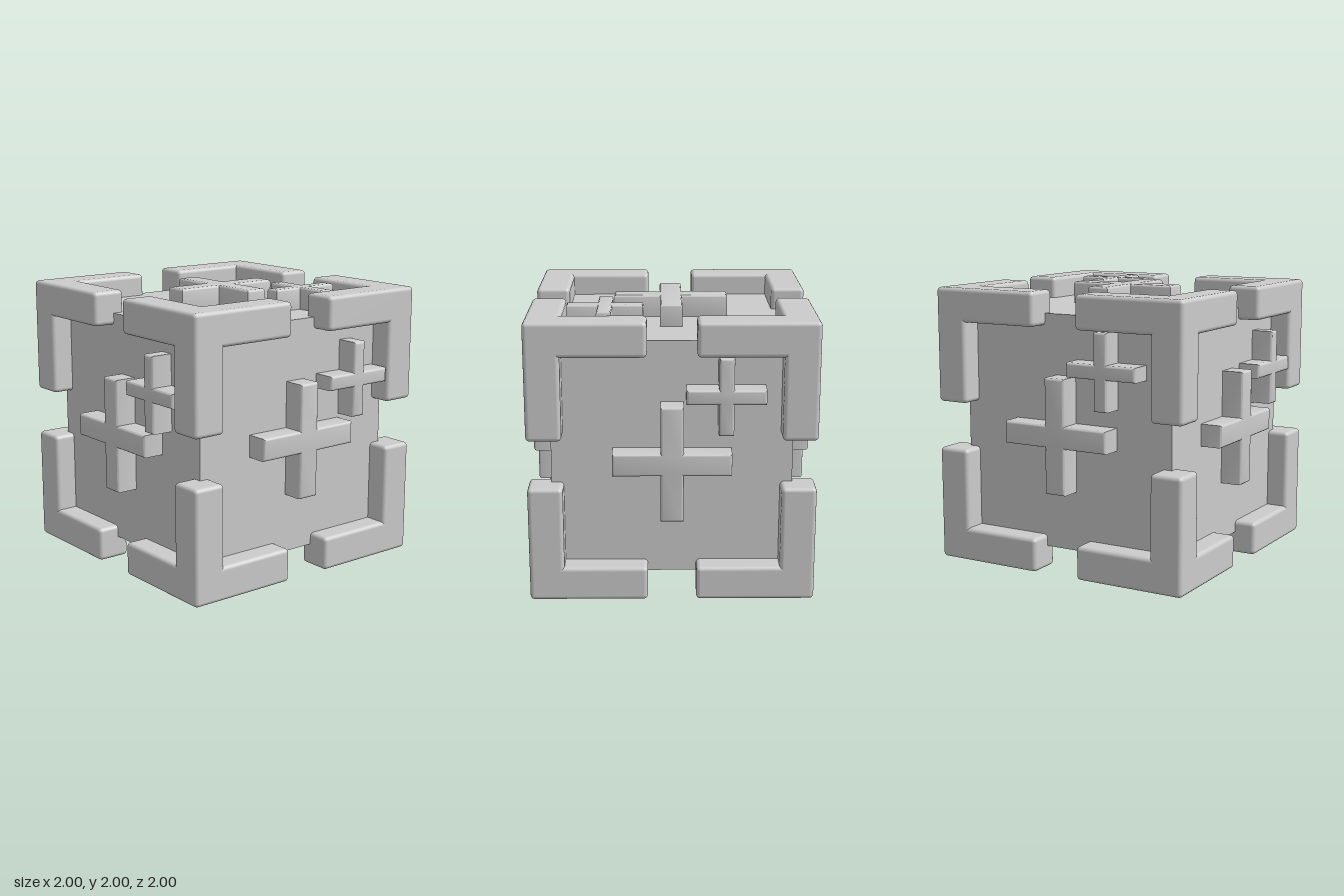
import * as THREE from 'three';
import { toCreasedNormals } from 'three/addons/utils/BufferGeometryUtils.js';
import { RoundedBoxGeometry } from 'three/addons/geometries/RoundedBoxGeometry.js';

const CORE = 0.84;   // half size of the inner cube
const INNER = 0.755; // inner side of the corner brackets
const GAP = 0.17;    // half of the opening between brackets

// Plus-shaped bar with softened edges, standing on the core and reaching z = 1
function crossGeometry(half, width) {
  const bevel = 0.018;
  const shape = new THREE.Shape();
  const quarter = [[half, -width], [half, width], [width, width]];
  const points = [];
  for (let i = 0; i < 4; i++) {
    for (const [x, y] of quarter) {
      points.push(new THREE.Vector2(x, y).rotateAround(new THREE.Vector2(), i * Math.PI / 2));
    }
  }
  shape.setFromPoints(points);
  const start = CORE - 0.04;
  const geometry = new THREE.ExtrudeGeometry(shape, {
    depth: 1 - start - 2 * bevel, bevelEnabled: true, bevelSize: bevel,
    bevelThickness: bevel, bevelOffset: -bevel, bevelSegments: 3,
  });
  geometry.translate(0, 0, start + bevel);
  return toCreasedNormals(geometry, 0.7);
}

export function createModel() {
  const model = new THREE.Group();
  model.name = 'bracedCube';
  const material = new THREE.MeshStandardMaterial({ color: 0xcccccc });
  const body = new THREE.Group();
  body.name = 'body';
  body.position.y = 1;
  model.add(body);

  const add = (parent, geometry, name) => {
    const mesh = new THREE.Mesh(geometry, material);
    mesh.name = name;
    parent.add(mesh);
    return mesh;
  };

  // Inner cube
  add(body, new THREE.BoxGeometry(2 * CORE, 2 * CORE, 2 * CORE), 'core');

  // Eight corner brackets, each of three rounded arms
  const long = 1 - GAP, thick = 1 - INNER;
  for (const sx of [-1, 1]) for (const sy of [-1, 1]) for (const sz of [-1, 1]) {
    const bracket = new THREE.Group();
    bracket.name = 'cornerBracket';
    for (let axis = 0; axis < 3; axis++) {
      const size = [thick, thick, thick];
      size[axis] = long;
      const arm = add(bracket, new RoundedBoxGeometry(...size, 3, 0.03), 'bracketArm');
      arm.position.set(sx * (1 - size[0] / 2), sy * (1 - size[1] / 2), sz * (1 - size[2] / 2));
    }
    body.add(bracket);
  }

  // A large centred cross and a small offset cross on every face
  const large = crossGeometry(0.412, 0.08);
  const small = crossGeometry(0.272, 0.052);
  const q = Math.PI / 2;
  const faces = [
    ['front', 0, 0, 0.47, 0.38],
    ['left', 0, q, 0.37, 0.48],
    ['back', 0, 2 * q, 0.37, 0.48],
    ['right', 0, -q, 0.47, 0.38],
    ['top', -q, 0, 0.37, -0.47],
    ['bottom', q, 0, -0.47, 0.38],
  ];
  for (const [name, rx, ry, u, v] of faces) {
    const face = new THREE.Group();
    face.name = name + 'Crosses';
    face.rotation.set(rx, ry, 0);
    add(face, large, 'largeCross');
    add(face, small, 'smallCross').position.set(u, v, 0);
    body.add(face);
  }
  return model;
}
